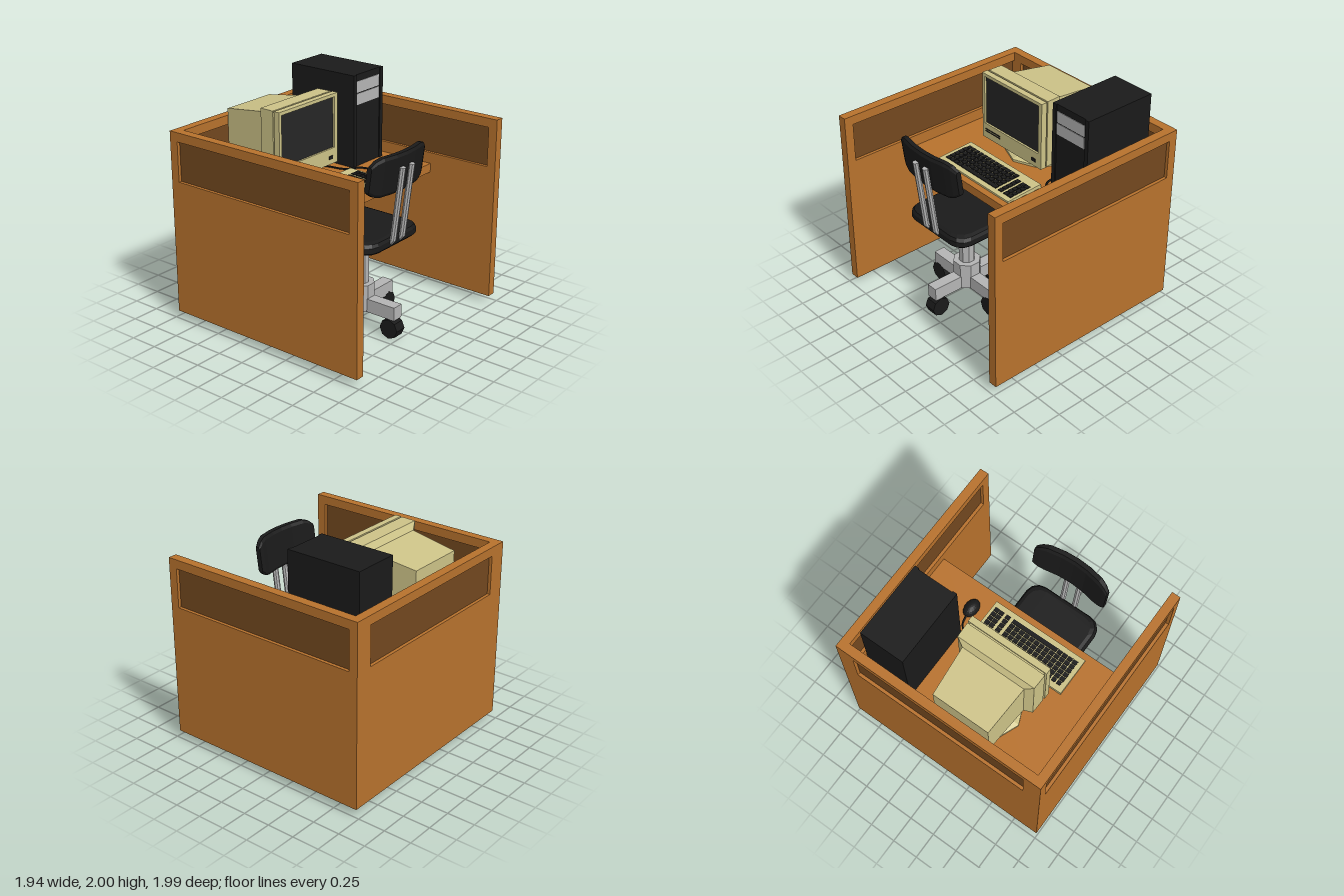
import * as THREE from 'three';

const mat = (color) => new THREE.MeshStandardMaterial({ color, flatShading: true, roughness: 0.8 });

export function createModel() {
  const root = new THREE.Group();
  const wood = mat(0xb8722d), pane = mat(0x73481f), cream = mat(0xcdc388);
  const black = mat(0x1a1a1a), screenMat = mat(0x262626), silver = mat(0xb5b5b5);

  const group = (name) => {
    const g = new THREE.Group();
    g.name = name;
    root.add(g);
    return g;
  };
  const add = (parent, name, geo, material) => {
    const m = new THREE.Mesh(geo, material);
    m.name = name;
    parent.add(m);
    return m;
  };
  // Box given by its extents along each axis
  const box = (parent, name, material, [x0, x1], [y0, y1], [z0, z1]) => {
    const m = add(parent, name, new THREE.BoxGeometry(x1 - x0, y1 - y0, z1 - z0), material);
    m.position.set((x0 + x1) / 2, (y0 + y1) / 2, (z0 + z1) / 2);
    return m;
  };
  // Closed skin over rings of points, each ring counterclockwise about the travel direction
  const loft = (rings) => {
    const n = rings[0].length, last = rings.length - 1, idx = [];
    for (let i = 0; i < last; i++) for (let j = 0; j < n; j++) {
      const k = (j + 1) % n, a = i * n + j, b = i * n + k;
      idx.push(a, b, b + n, a, b + n, a + n);
    }
    for (let j = 1; j < n - 1; j++) {
      idx.push(0, j + 1, j, last * n, last * n + j, last * n + j + 1);
    }
    let g = new THREE.BufferGeometry();
    g.setAttribute('position', new THREE.Float32BufferAttribute(rings.flat(2), 3));
    g.setIndex(idx);
    g = g.toNonIndexed();
    g.computeVertexNormals();
    return g;
  };
  const rect = (path, x0, x1, y0, y1) => {
    path.moveTo(x0, y0);
    path.lineTo(x1, y0);
    path.lineTo(x1, y1);
    path.lineTo(x0, y1);
    path.closePath();
    return path;
  };
  // Rectangular frame with a rectangular opening, centred in depth
  const frame = (outer, inner, depth) => {
    const s = rect(new THREE.Shape(), ...outer);
    s.holes.push(rect(new THREE.Path(), ...inner));
    return new THREE.ExtrudeGeometry(s, { depth, bevelEnabled: false }).translate(0, 0, -depth / 2);
  };

  // Cubicle walls with recessed panes
  const cubicle = group('cubicle');
  for (const s of [1, -1]) {
    const w = add(cubicle, 'sideWall', frame([-0.97, 0.97, 0.07, 1.7], [-0.89, 0.89, 1.27, 1.62], 0.08), wood);
    w.position.z = s * 0.953;
    box(cubicle, 'sidePane', pane, [-0.89, 0.89], [1.27, 1.62], [s * 0.953 - 0.012, s * 0.953 + 0.012]);
  }
  const back = add(cubicle, 'backWall', frame([-0.913, 0.913, 0.07, 1.7], [-0.83, 0.83, 1.27, 1.62], 0.08), wood);
  back.rotation.y = Math.PI / 2;
  back.position.x = -0.93;
  box(cubicle, 'backPane', pane, [-0.942, -0.918], [1.27, 1.62], [-0.83, 0.83]);
  box(cubicle, 'desktop', wood, [-0.89, 0.31], [1.09, 1.17], [-0.913, 0.913]);

  // Computer tower
  const tower = group('tower');
  box(tower, 'towerCase', black, [-0.84, -0.155], [1.17, 2], [-0.805, -0.395]);
  box(tower, 'frontRail', black, [-0.155, -0.145], [1.17, 2], [-0.805, -0.765]);
  box(tower, 'frontRail', black, [-0.155, -0.145], [1.17, 2], [-0.435, -0.395]);
  for (const y of [1.73, 1.84]) box(tower, 'driveBay', silver, [-0.156, -0.15], [y, y + 0.1], [-0.755, -0.44]);

  // Monitor
  const monitor = group('monitor');
  const cz = 0.155;
  const section = (x, half, y0, y1) =>
    [[x, y0, cz - half], [x, y1, cz - half], [x, y1, cz + half], [x, y0, cz + half]];
  add(monitor, 'monitorHousing', loft([
    section(-0.86, 0.265, 1.3, 1.775), section(-0.43, 0.295, 1.29, 1.835),
    section(-0.395, 0.365, 1.27, 1.89), section(-0.26, 0.37, 1.27, 1.89),
    section(-0.26, 0.355, 1.285, 1.875), section(-0.22, 0.355, 1.285, 1.875),
  ]), cream);
  const bezel = add(monitor, 'screenBezel',
    frame([-0.53, 0.22, 1.27, 1.89], [-0.5, 0.18, 1.41, 1.86], 0.055), cream);
  bezel.rotation.y = Math.PI / 2;
  bezel.position.x = -0.2165;
  box(monitor, 'screen', screenMat, [-0.23, -0.207], [1.41, 1.86], [-0.18, 0.5]);
  box(monitor, 'powerButton', black, [-0.2, -0.183], [1.315, 1.345], [-0.155, -0.105]);
  for (const y of [1.335, 1.355]) box(monitor, 'controlStrip', black, [-0.2, -0.184], [y, y + 0.008], [0.3, 0.49]);
  add(monitor, 'monitorStand', new THREE.CylinderGeometry(0.15, 0.32, 0.08, 8), cream).position.set(-0.53, 1.23, cz);
  add(monitor, 'standFoot', new THREE.CylinderGeometry(0.32, 0.32, 0.02, 8), cream).position.set(-0.53, 1.18, cz);

  // Keyboard: wedge body with rows of keys
  const keyboard = group('keyboard');
  const wedge = (z) => [[-0.11, 1.17, z], [0.25, 1.17, z], [0.25, 1.187, z], [-0.11, 1.205, z]];
  add(keyboard, 'keyboardBody', loft([wedge(-0.31), wedge(0.6)]), cream);
  const key = (x, z0, z1) => {
    const y = 1.1995 - (x + 0.06) * 0.05;
    box(keyboard, 'key', black, [x - 0.019, x + 0.019], [y - 0.008, y + 0.01], [z0, z1]).rotation.z = -0.05;
  };
  const columns = [0, 1, 2, 3, 4].map((i) => 0.0025 + i * 0.045);
  for (const z of [-0.284, -0.236, -0.168]) for (const x of columns) key(x, z, z + 0.043);
  for (let r = 0; r < 13; r++) {
    const z = -0.095 + r * 0.051;
    key(-0.042, z, z + 0.038);
    columns.forEach((x, c) => { if (c < 4 || r > 8) key(x, z, z + 0.044); });
  }
  key(columns[4], -0.095, 0.358);

  // Mouse and cord
  const mouse = group('mouse');
  const shell = add(mouse, 'mouseBody',
    new THREE.SphereGeometry(1, 14, 6, 0, Math.PI * 2, 0, Math.PI / 2), black);
  shell.scale.set(0.09, 0.07, 0.062);
  shell.position.set(0.08, 1.17, -0.45);
  const cordPath = [[0.0, -0.445], [-0.07, -0.43], [-0.11, -0.4], [-0.16, -0.32], [-0.21, -0.292],
    [-0.34, -0.268], [-0.4, -0.225], [-0.43, -0.14]].map(([x, z]) => new THREE.Vector3(x, 1.18, z));
  add(mouse, 'mouseCord', new THREE.TubeGeometry(new THREE.CatmullRomCurve3(cordPath), 32, 0.009, 6), black);

  // Chair, built around its post
  const chair = group('chair');
  chair.position.set(0.34, 0, 0.13);
  const post = (name, r, y0, y1) => {
    const m = add(chair, name, new THREE.CylinderGeometry(r, r, y1 - y0, 8), silver);
    m.rotation.y = Math.PI / 8;
    m.position.y = (y0 + y1) / 2;
  };
  post('hub', 0.122, 0.18, 0.42);
  post('post', 0.071, 0.42, 0.85);
  for (let i = 0; i < 4; i++) {
    const arm = new THREE.Group();
    arm.name = 'baseLeg';
    arm.rotation.y = i * Math.PI / 2;
    chair.add(arm);
    box(arm, 'leg', silver, [0.05, 0.39], [0.18, 0.3], [-0.052, 0.052]);
    const wheel = add(arm, 'caster', new THREE.CylinderGeometry(0.088, 0.088, 0.108, 8), black);
    wheel.rotation.x = Math.PI / 2;
    wheel.position.set(0.335, i % 2 ? 0.118 : 0.09, 0);
  }

  // Seat cushion: rounded outline stacked in layers, softer at the top
  const outline = (half, y) => {
    const ring = [];
    for (let q = 0; q < 4; q++) for (let k = 0; k < 4; k++) {
      const a = (q + k / 3) * Math.PI / 2;
      const sx = q === 0 || q === 3 ? 1 : -1, sz = q < 2 ? 1 : -1, r = 0.12;
      ring.push([sx * (half - r) + r * Math.cos(a), y, -(sz * (half - r) + r * Math.sin(a))]);
    }
    return ring;
  };
  add(chair, 'seat', loft([
    outline(0.35, 0.845), outline(0.362, 0.86), outline(0.36, 0.905), outline(0.345, 0.93), outline(0.315, 0.942),
  ]), black);

  // Backrest: upright sections swept across, curling forward at both sides
  const stations = [-0.358, -0.345, -0.31, -0.25, -0.12, 0, 0.12, 0.25, 0.31, 0.345, 0.358];
  const corner = [[-0.035, -0.85], [-0.02, -1], [0.02, -1], [0.035, -0.85], [0.035, 0.85], [0.02, 1], [-0.02, 1], [-0.035, 0.85]];
  add(chair, 'backrest', loft(stations.map((z) => {
    const e = Math.max(0, (Math.abs(z) - 0.25) / 0.108);
    const h = 0.17 - 0.06 * e * e, t = 1 - 0.35 * e * e;
    return corner.map(([x, y]) => [0.403 - 0.5 * z * z + x * t + y * h * 0.13, 1.5 + y * h, z]);
  })), black);

  // Twin support bars from under the seat to the backrest
  for (const z of [-0.065, 0.06]) {
    const path = new THREE.CurvePath();
    const p = [[0.22, 0.89], [0.35, 0.89], [0.375, 0.93], [0.453, 1.55]].map(([x, y]) => new THREE.Vector3(x, y, z));
    path.add(new THREE.LineCurve3(p[0], p[1]));
    path.add(new THREE.QuadraticBezierCurve3(p[1], new THREE.Vector3(0.37, 0.89, z), p[2]));
    path.add(new THREE.LineCurve3(p[2], p[3]));
    add(chair, 'supportBar', new THREE.TubeGeometry(path, 24, 0.027, 8), silver);
    const cap = add(chair, 'barCap', new THREE.CylinderGeometry(0.027, 0.027, 0.006, 8), silver);
    cap.position.set(0.453, 1.55, z);
    cap.rotation.z = -0.125;
  }
  return root;
}
